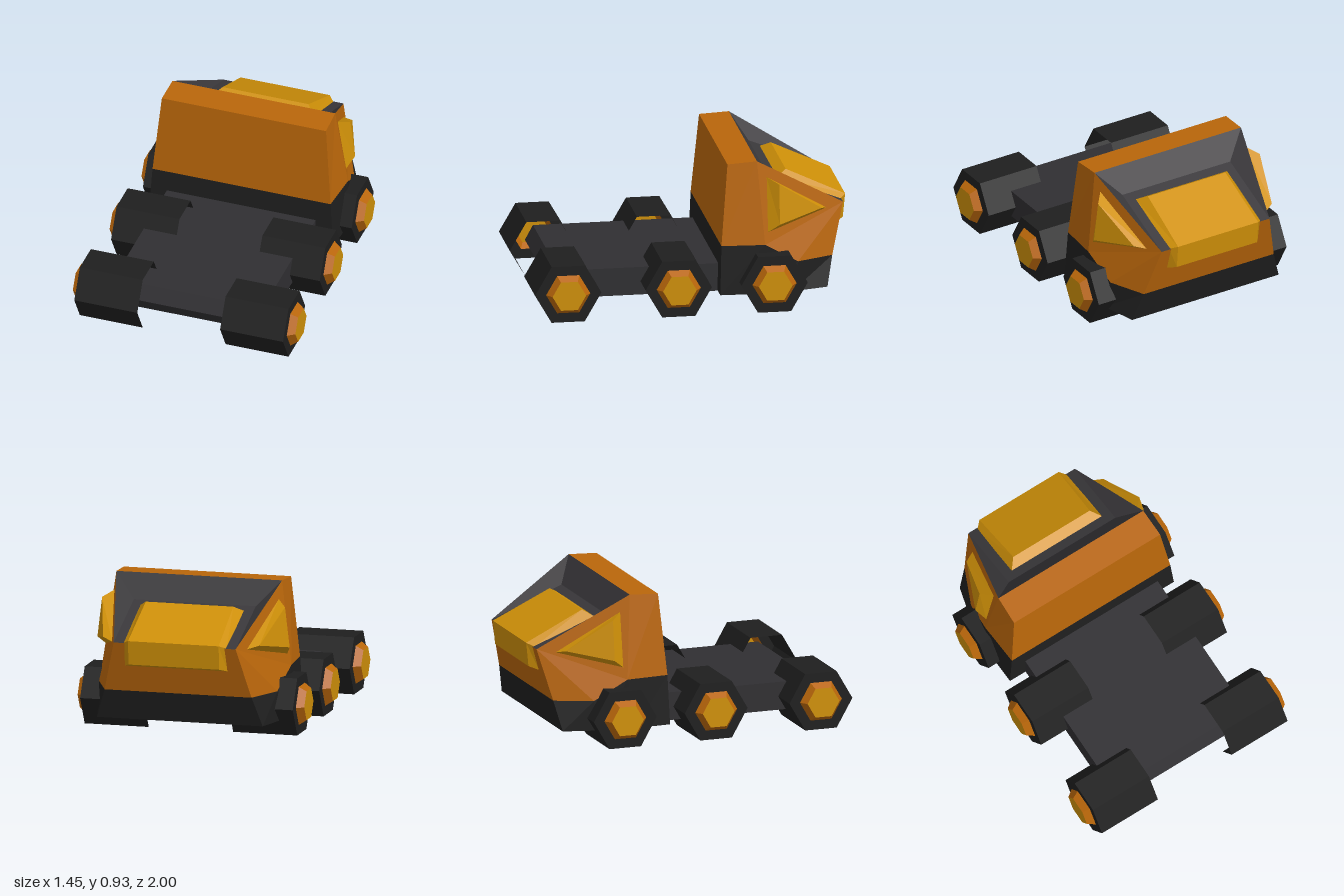
import * as THREE from 'three';

const mat = (color) => new THREE.MeshStandardMaterial({ color, flatShading: true, side: THREE.DoubleSide });
const orange = mat(0xb9660a), yellow = mat(0xcf9008), grey = mat(0x3a383b), frame = mat(0x302f32), black = mat(0x1f1f1f);

const flip = ([x, y, z]) => [-x, y, z];
// mirrored copies of faces, with the corner order reversed
const mirror = (faces) => faces.map((f) => f.map(flip).reverse());
// a band that joins an edge on the left to its mirror image
const across = (p, q) => [p, q, flip(q), flip(p)];

// flat-sided mesh from a list of convex faces
function facetMesh(name, faces, material) {
  const pos = [];
  for (const f of faces)
    for (let i = 1; i < f.length - 1; i++) pos.push(...f[0], ...f[i], ...f[i + 1]);
  const g = new THREE.BufferGeometry();
  g.setAttribute('position', new THREE.Float32BufferAttribute(pos, 3));
  g.computeVertexNormals();
  const m = new THREE.Mesh(g, material);
  m.name = name;
  return m;
}

// walls between a base loop and an outer loop, plus the outer face
const raised = (base, outer) => [
  ...base.map((p, i) => {
    const j = (i + 1) % base.length;
    return [p, base[j], outer[j], outer[i]];
  }),
  outer,
];

function createCab() {
  const cab = new THREE.Group();
  cab.name = 'cab';
  // left half corners
  const rearBottom = [0.6, 0.1, -0.17], rearWaist = [0.58, 0.41, -0.18];
  const rearTop = [0.535, 0.92, -0.225], frontTop = [0.53, 0.93, -0.41];
  const sideBottom = [0.61, 0.1, -0.4], sideWaist = [0.6, 0.41, -0.45];
  const sideLow = [0.57, 0.285, -0.66], sideFoot = [0.59, 0.1, -0.62];
  const nose = [0.39, 0.6, -0.97], noseWaist = [0.47, 0.285, -0.89], noseBottom = [0.53, 0.1, -0.85];
  const recess = [0.39, 0.78, -0.51];

  // painted shell
  const side = [
    [rearWaist, sideWaist, frontTop, rearTop],
    [frontTop, sideWaist, nose],
    [sideWaist, sideLow, nose],
    [sideLow, noseWaist, nose],
  ];
  cab.add(facetMesh('cabShell', [
    ...side, ...mirror(side),
    across(rearWaist, rearTop), across(rearTop, frontTop), across(nose, noseWaist),
  ], orange));

  // dark skirt, open underneath
  const skirt = [
    [rearBottom, sideBottom, sideWaist, rearWaist],
    [sideBottom, sideFoot, sideLow, sideWaist],
    [sideFoot, noseBottom, noseWaist, sideLow],
  ];
  cab.add(facetMesh('cabSkirt', [
    ...skirt, ...mirror(skirt),
    across(rearBottom, rearWaist), across(noseWaist, noseBottom),
  ], black));

  // sunken surround of the front window
  const cheek = [[frontTop, nose, recess]];
  cab.add(facetMesh('windowSurround', [
    ...cheek, ...mirror(cheek), across(frontTop, recess), across(recess, nose),
  ], grey));

  // front window slab, folded over the nose
  const base = [[0.33, 0.76, -0.57], [0.33, 0.6, -0.96], [0.33, 0.45, -0.93]];
  const outer = [[0.28, 0.795, -0.63], [0.29, 0.62, -1.0], [0.29, 0.47, -0.985]];
  const slabSide = [0, 1].map((i) => [base[i], outer[i], outer[i + 1], base[i + 1]]);
  cab.add(facetMesh('frontWindow', [
    ...slabSide, ...mirror(slabSide),
    across(base[0], outer[0]), across(outer[0], outer[1]),
    across(outer[1], outer[2]), across(outer[2], base[2]),
  ], yellow));

  // raised triangular side windows
  const pane = raised(
    [[0.525, 0.825, -0.47], [0.58, 0.485, -0.47], [0.43, 0.58, -0.86]],
    [[0.585, 0.79, -0.54], [0.615, 0.54, -0.54], [0.5, 0.6, -0.82]],
  );
  cab.add(facetMesh('leftWindow', pane, yellow), facetMesh('rightWindow', mirror(pane), yellow));
  return cab;
}

function createChassis() {
  // side profile (z, y) with a pointed tail, extruded across the width
  const shape = new THREE.Shape(
    [[-0.2, 0.095], [0.82, 0.095], [0.87, 0.18], [0.82, 0.272], [-0.2, 0.272]].map(([z, y]) => new THREE.Vector2(-z, y)),
  );
  const g = new THREE.ExtrudeGeometry(shape, { depth: 0.97, bevelEnabled: false });
  g.translate(0, 0, -0.485).rotateY(Math.PI / 2);
  const m = new THREE.Mesh(g, frame);
  m.name = 'chassis';
  return m;
}

function createWheel(s, z) {
  const wheel = new THREE.Group();
  wheel.name = s > 0 ? 'leftWheel' : 'rightWheel';
  const add = (name, g, material) => {
    const m = new THREE.Mesh(g, material);
    m.name = name;
    wheel.add(m);
  };
  // six-sided tube along x, from x0 out to x1, with the given number of walls
  const tube = (rOut, rIn, x0, x1, walls) =>
    new THREE.CylinderGeometry(rOut, rIn, x1 - x0, walls, 1, true, (7 / 6 - s / 2) * Math.PI, walls * Math.PI / 3)
      .rotateZ(-s * Math.PI / 2).translate(s * (x0 + x1) / 2, 0, 0);
  // flat end facing outwards at x
  const end = (g, x) => g.rotateY(s * Math.PI / 2).translate(s * x, 0, 0);

  // tyre is open on its inner end and underneath
  add('tyre', tube(0.207, 0.207, 0.27, 0.68, 5), black);
  add('tyreSide', end(new THREE.RingGeometry(0.138, 0.207, 6), 0.68), black);
  add('hubRim', tube(0.105, 0.138, 0.68, 0.725, 6), orange);
  add('hubCap', end(new THREE.CircleGeometry(0.105, 6), 0.725), yellow);
  wheel.position.set(0, 0.18, z);
  return wheel;
}

export function createModel() {
  const truck = new THREE.Group();
  truck.name = 'truck';
  truck.add(createCab(), createChassis());
  for (const z of [0.793, 0.103, -0.495])
    for (const s of [1, -1]) truck.add(createWheel(s, z));
  return truck;
}
